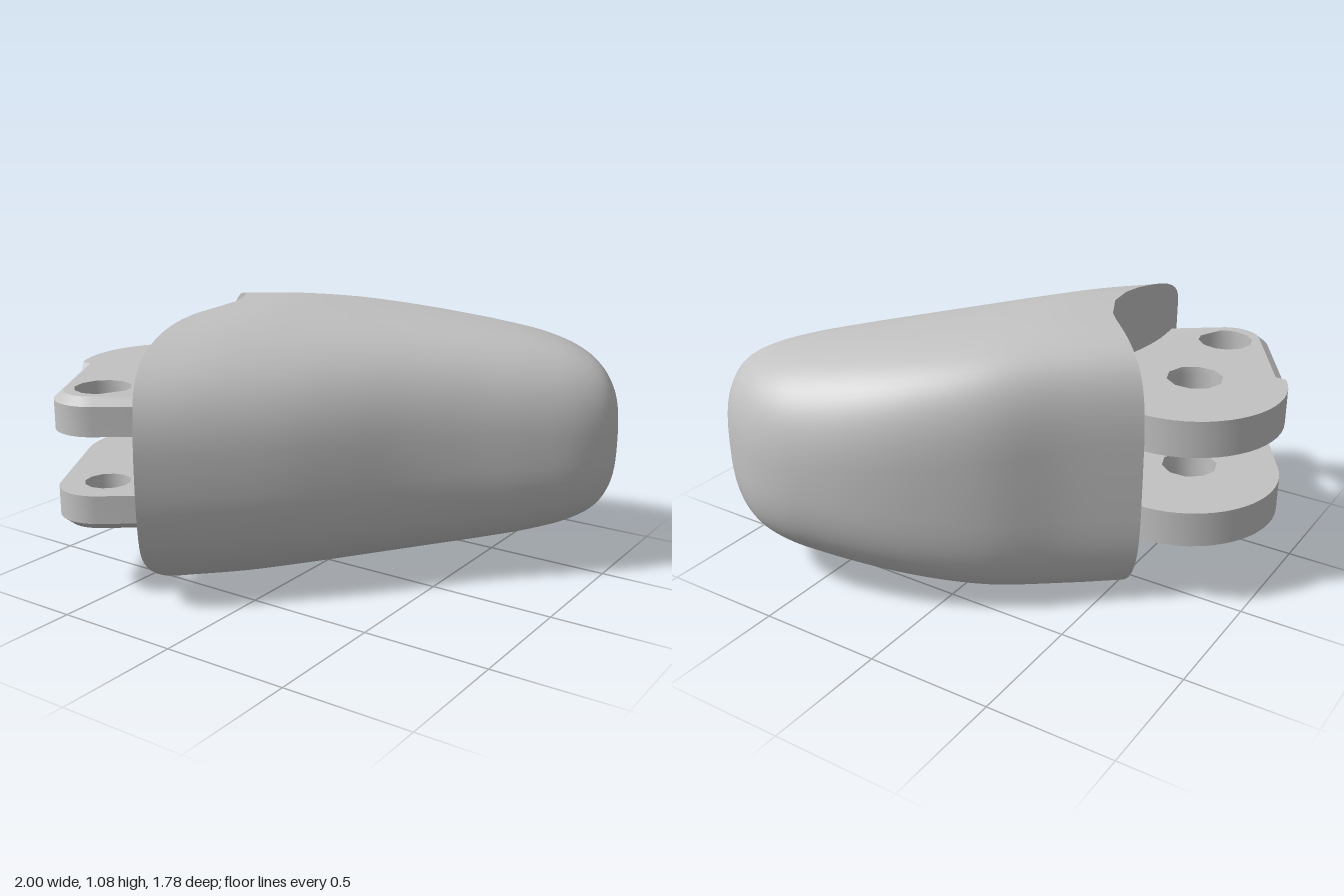
import * as THREE from 'three';
import { toCreasedNormals } from 'three/addons/utils/BufferGeometryUtils.js';

const MID_Y = 0.54;

// Stations along the fingertip: back edge x, z; front edge x, z; half height
const STATIONS = [
  [-0.65, -0.19, -0.235, 0.885, 0.54],
  [-0.43, -0.375, -0.05, 0.69, 0.535],
  [-0.22, -0.575, 0.14, 0.485, 0.515],
  [0.0, -0.72, 0.29, 0.305, 0.49],
  [0.2, -0.815, 0.43, 0.135, 0.465],
  [0.38, -0.872, 0.6, -0.045, 0.435],
  [0.5, -0.892, 0.79, -0.225, 0.4],
  [0.62, -0.887, 0.92, -0.36, 0.355],
  [0.72, -0.855, 0.985, -0.465, 0.3],
  [0.8, -0.815, 1.0, -0.545, 0.225],
  [0.87, -0.76, 0.975, -0.625, 0.13],
  [0.928, -0.697, 0.928, -0.697, 0],
];

// Curved cut that closes the body next to the hinge, seen from above (x, z)
const CUT = [
  [-0.65, -0.19], [-0.5, -0.08], [-0.38, 0.04], [-0.32, 0.17], [-0.31, 0.3],
  [-0.33, 0.45], [-0.335, 0.55], [-0.32, 0.7], [-0.285, 0.81], [-0.235, 0.885],
];

const SIDES = 72;
const RINGS = 55;

function makeGeometry(positions, index) {
  const geo = new THREE.BufferGeometry();
  geo.setAttribute('position', new THREE.Float32BufferAttribute(positions, 3));
  geo.setIndex(index);
  geo.computeVertexNormals();
  return geo;
}

// Rounded loft from the curved cut to the tip, plus the upright wall in the cut
function bodyGeometries() {
  const back = new THREE.CatmullRomCurve3(STATIONS.map((s) => new THREE.Vector3(s[0], s[4], s[1])));
  const front = new THREE.CatmullRomCurve3(STATIONS.map((s) => new THREE.Vector3(s[2], s[4], s[3])));
  const cut = new THREE.CatmullRomCurve3(CUT.map(([x, z]) => new THREE.Vector3(x, 0, z)));
  const round = (c, n) => Math.sign(c) * Math.pow(Math.abs(c), 2 / n);

  const pos = [];
  const index = [];
  const start = [back.getPoint(0), front.getPoint(0)];
  for (let i = 0; i <= RINGS; i++) {
    const t = i / RINGS;
    const l = back.getPoint(t);
    const r = front.getPoint(t);
    const bend = Math.pow(Math.max(0, 1 - t * 2.2), 2);
    // The section is boxier on its back side near the cut, with its crest set back
    const blend = 1 - THREE.MathUtils.smoothstep(t, 0, 0.5);
    const crest = 0.5 - 0.1 * blend;
    for (let j = 0; j < SIDES; j++) {
      const a = (j / SIDES) * Math.PI * 2;
      const c = Math.cos(a);
      const n = c < 0 ? 2.6 + 1.3 * blend : 2.6;
      const u = round(c, n);
      const s = THREE.MathUtils.clamp(crest + u * (u < 0 ? crest : 1 - crest), 0, 1);
      const p = l.clone().lerp(r, s);
      const h = Math.max(0, p.y);
      const offset = cut.getPointAt(s).sub(start[0].clone().lerp(start[1], s));
      pos.push(p.x + offset.x * bend, MID_Y + h * round(Math.sin(a), n), p.z + offset.z * bend);
      if (i < RINGS) {
        const k = (j + 1) % SIDES;
        const m = i * SIDES;
        const q = m + SIDES;
        index.push(m + j, q + j, m + k, m + k, q + j, q + k);
      }
    }
  }

  const wallIndex = [];
  for (let j = 0; j < SIDES / 2; j++) {
    const a = j, b = j + 1, c = SIDES - j - 1, d = (SIDES - j) % SIDES;
    wallIndex.push(a, b, c, a, c, d);
  }
  return [makeGeometry(pos, index), makeGeometry(pos.slice(0, SIDES * 3), wallIndex)];
}

const PIVOT = new THREE.Vector2(-0.625, 0.215);
const PIN = new THREE.Vector2(-0.575, 0.71);
const PIN_RADIUS = 0.16;

function arc(center, radius, fromDeg, toDeg, n) {
  return Array.from({ length: n + 1 }, (_, i) => {
    const a = THREE.MathUtils.degToRad(fromDeg + ((toDeg - fromDeg) * i) / n);
    return new THREE.Vector2(center.x + radius * Math.cos(a), center.y + radius * Math.sin(a));
  });
}

// Hinge plate with two holes and a chamfer on its outer face around the pin end
function plateGeometry(topY, depth, outerIsTop, pinHole) {
  const shape = new THREE.Shape([
    ...arc(PIVOT, 0.375, 147, 360, 32),
    new THREE.Vector2(-0.15, 0.595),
    ...arc(PIN, PIN_RADIUS, 53, 147, 10),
    new THREE.Vector2(-0.925, 0.442),
  ]);
  for (const [x, z, r, n] of [[-0.635, 0.25, 0.11, 10], [-0.57, 0.68, pinHole, 12]]) {
    shape.holes.push(new THREE.Path(arc(new THREE.Vector2(x, z), r, 0, 360, n).slice(0, -1)));
  }
  const geo = new THREE.ExtrudeGeometry(shape, { depth, steps: 2, bevelEnabled: false });

  const p = geo.attributes.position;
  const outer = outerIsTop ? 0 : depth;
  const chamferStart = outerIsTop ? 0.03 : depth - 0.03;
  for (let i = 0; i < p.count; i++) {
    const v = new THREE.Vector2(p.getX(i), p.getY(i));
    if (Math.abs(p.getZ(i) - depth / 2) < 0.01) {
      p.setZ(i, chamferStart);
    } else if (Math.abs(p.getZ(i) - outer) < 0.001 && v.y > 0.43 && v.distanceTo(PIN) > 0.15) {
      if (v.x < -0.8) v.add(new THREE.Vector2(0.03, -0.02));
      else v.sub(PIN).multiplyScalar(0.77).add(PIN);
      p.setXY(i, v.x, v.y);
    }
  }
  geo.rotateX(Math.PI / 2);
  geo.translate(0, topY, 0);
  return toCreasedNormals(geo, 0.66);
}

export function createModel() {
  const grey = new THREE.MeshStandardMaterial({ color: 0xc2c2c2 });
  grey.name = 'plain grey';
  const model = new THREE.Group();
  model.name = 'fingertip';

  const add = (name, geometry) => {
    const mesh = new THREE.Mesh(geometry, grey);
    mesh.name = name;
    model.add(mesh);
  };

  const [shell, wall] = bodyGeometries();
  add('fingertipBody', shell);
  add('hingeWall', wall);
  add('upperHingePlate', plateGeometry(0.8, 0.145, true, 0.11));
  add('lowerHingePlate', plateGeometry(0.425, 0.14, false, 0.09));
  return model;
}
